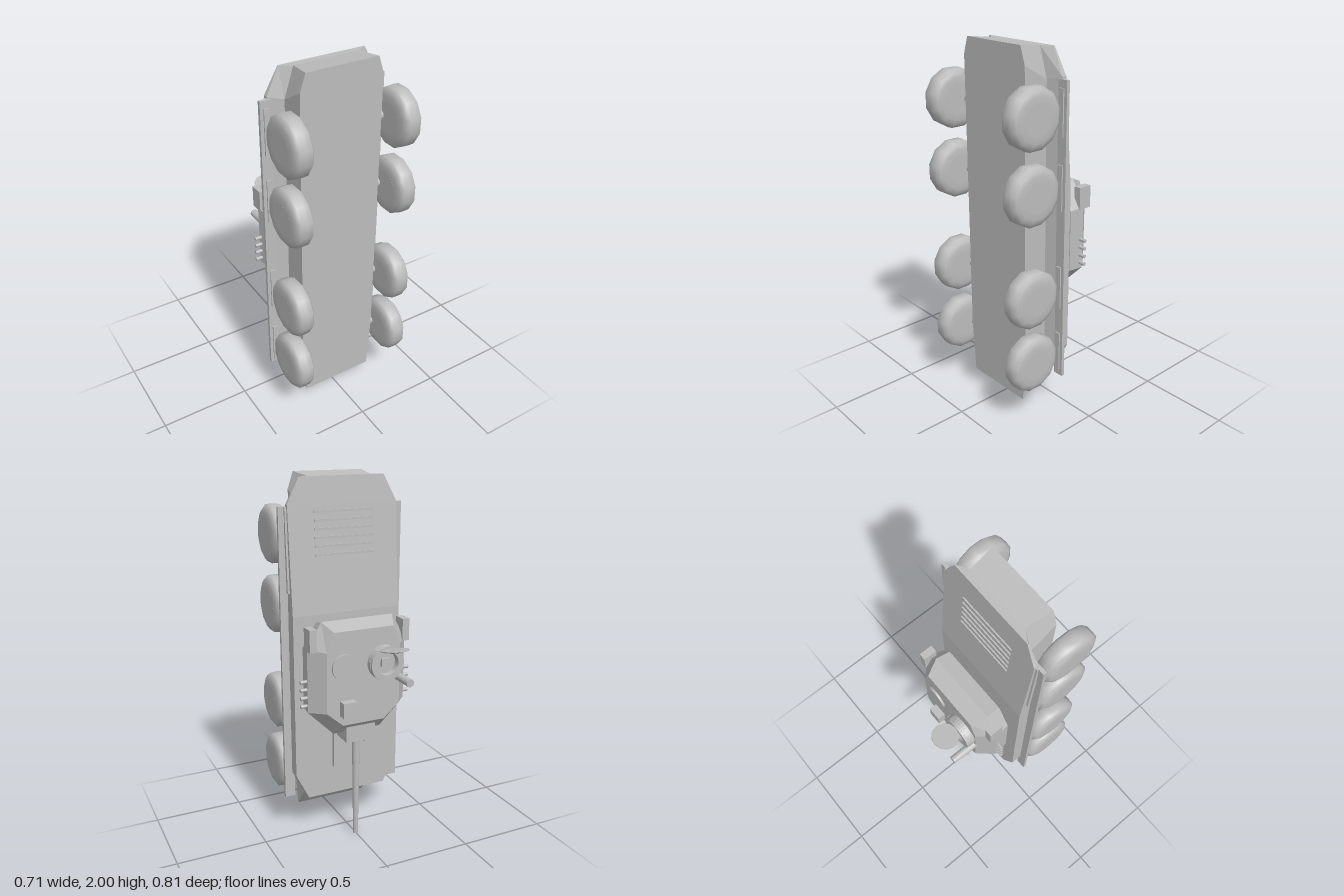
import * as THREE from 'three';

const grey = new THREE.MeshStandardMaterial({ color: 0xbcbcbc });
grey.name = 'primer grey';

// Closed solid from half outlines (x > 0, running from high y to low y), mirrored in x.
// Rings run from high z to low z.
function loft(rings) {
  const n = rings[0].length;
  const pos = [], idx = [];
  for (const r of rings) {
    for (const p of r) pos.push(...p);
    for (const [x, y, z] of [...r].reverse()) pos.push(-x, y, z);
  }
  const m = n * 2, last = (rings.length - 1) * m;
  for (let i = 0; i < rings.length - 1; i++) {
    for (let j = 0; j < m; j++) {
      const a = i * m + j, b = i * m + (j + 1) % m;
      idx.push(a, b, b + m, a, b + m, a + m);
    }
  }
  for (let j = 0; j < n - 1; j++) {
    const k = m - 1 - j;
    idx.push(j, k - 1, j + 1, j, k, k - 1);
    idx.push(last + j, last + j + 1, last + k - 1, last + j, last + k - 1, last + k);
  }
  const g = new THREE.BufferGeometry();
  g.setAttribute('position', new THREE.Float32BufferAttribute(pos, 3));
  g.setIndex(idx);
  const flat = g.toNonIndexed();
  flat.computeVertexNormals();
  return flat;
}

export function createModel() {
  const model = new THREE.Group();
  model.name = 'armouredVehicle';

  const add = (name, geo, x = 0, y = 0, z = 0, parent = model) => {
    const mesh = new THREE.Mesh(geo, grey);
    mesh.name = name;
    mesh.position.set(x, y, z);
    parent.add(mesh);
    return mesh;
  };
  // Box given by its extents on each axis
  const box = (name, x0, x1, y0, y1, z0, z1) =>
    add(name, new THREE.BoxGeometry(x1 - x0, y1 - y0, z1 - z0),
      (x0 + x1) / 2, (y0 + y1) / 2, (z0 + z1) / 2);
  // Cylinders along x and z
  const cylX = (r, len, seg) => new THREE.CylinderGeometry(r, r, len, seg).rotateZ(-Math.PI / 2);
  const cylZ = (r, len, seg) => new THREE.CylinderGeometry(r, r, len, seg).rotateX(Math.PI / 2);

  // Hull: belly, sponson foot, sponson edge, sloped roof
  add('hull', loft([
    [[0.2, 2, 0.23], [0.23, 1.91, 0.23], [0.23, 1.28, 0.23], [0.23, 0.37, 0.23], [0.21, 0.065, 0.23]],
    [[0.18, 1.985, 0.09], [0.23, 1.83, 0.09], [0.23, 1.28, 0.09], [0.23, 0.37, 0.09], [0.22, 0.22, 0.09]],
    [[0.24, 1.985, 0.055], [0.31, 1.85, 0.065], [0.31, 1.28, 0.065], [0.31, 0.37, 0.065], [0.235, 0.22, 0.065]],
    [[0.24, 1.985, 0.05], [0.31, 1.85, 0.039], [0.31, 1.28, -0.007], [0.31, 0.37, -0.007], [0.235, 0.22, -0.007]],
  ]));

  // Engine deck slats on the sloped roof
  for (let i = 0; i < 6; i++) {
    const y = 1.59 + i * 0.044;
    const z = -0.007 + (y - 1.28) * 0.081;
    box('deckSlat', -0.168, 0.168, y - 0.006, y + 0.006, z - 0.007, z + 0.007);
  }
  box('driverHatch', -0.09, 0.09, 0.39, 0.6, -0.03, 0);

  // Fenders, brackets and side panels
  for (const s of [-1, 1]) {
    const side = (name, a, b, ...rest) => box(name, Math.min(s * a, s * b), Math.max(s * a, s * b), ...rest);
    side('fender', 0.295, 0.353, 0.22, 1.84, 0.057, 0.075);
    for (const y of [0.36, 0.75, 1.3, 1.68]) {
      side('fenderBracket', 0.305, 0.335, y - 0.12, y + 0.12, 0.075, 0.082);
    }
    const panel = side('exhaustPanel', 0.3, 0.321, 1.4, 1.84, 0.038, 0.054);
    panel.rotation.x = 0.05;
  }

  // Wheels: rounded tyre around a flat hub
  const tyre = new THREE.LatheGeometry([
    [0.08, -0.054], [0.115, -0.053], [0.137, -0.046], [0.156, -0.032],
    [0.158, 0], [0.156, 0.032], [0.137, 0.046], [0.115, 0.053], [0.08, 0.054],
  ].map(([r, y]) => new THREE.Vector2(r, y)), 12)
    .rotateY(Math.PI / 12).rotateZ(-Math.PI / 2);
  const hub = cylX(0.082, 0.108, 12).rotateX(Math.PI / 12);
  const axle = cylX(0.025, 0.5, 12);
  for (const y of [0.365, 0.74, 1.3, 1.68]) {
    add('axle', axle, 0, y, 0.2);
    for (const s of [-1, 1]) {
      const wheel = new THREE.Group();
      wheel.name = 'wheel';
      wheel.position.set(s * 0.302, y, 0.254);
      add('tyre', tyre, 0, 0, 0, wheel);
      add('hub', hub, 0, 0, 0, wheel);
      model.add(wheel);
    }
  }

  // Turret on its ring
  add('turretRing', cylZ(0.18, 0.05, 32), 0, 0.88, -0.03);
  add('turret', loft([
    [[0.2, 1.25, -0.047], [0.275, 1.13, -0.047], [0.275, 0.79, -0.047], [0.14, 0.7, -0.047]],
    [[0.205, 1.275, -0.13], [0.285, 1.14, -0.13], [0.285, 0.79, -0.13], [0.14, 0.645, -0.13]],
    [[0.17, 1.235, -0.215], [0.212, 1.13, -0.215], [0.212, 0.8, -0.215], [0.12, 0.72, -0.215]],
  ]));

  // Gun
  box('mantlet', -0.085, 0.085, 0.6, 0.74, -0.182, -0.06);
  add('gunBarrel', new THREE.CylinderGeometry(0.022, 0.014, 0.62, 16), 0, 0.31, -0.122);
  add('coaxialGun', new THREE.CylinderGeometry(0.009, 0.009, 0.05, 8), -0.055, 0.585, -0.12);

  // Stowage boxes and smoke launchers
  for (const s of [-1, 1]) {
    add('sideBox', new THREE.BoxGeometry(0.04, 0.12, 0.077), s * 0.268, 1.19, -0.138);
    for (let i = 0; i < 4; i++) {
      add('smokeLauncher', cylX(0.01, 0.06, 10), s * 0.29, 0.824 + i * 0.045, -0.115);
    }
  }

  // Commander's cupola: hollow ring with vision blocks
  const ring = new THREE.Shape().absarc(0, 0, 0.095, 0, Math.PI * 2, false);
  ring.holes.push(new THREE.Path().absarc(0, 0, 0.062, 0, Math.PI * 2, true));
  add('cupola', new THREE.ExtrudeGeometry(ring, { depth: 0.055, bevelEnabled: false, curveSegments: 16 }),
    -0.115, 1.045, -0.265);
  add('cupolaFloor', cylZ(0.064, 0.02, 20), -0.115, 1.045, -0.215);
  add('seat', new THREE.BoxGeometry(0.045, 0.045, 0.02), -0.115, 1.045, -0.23);
  for (let i = 0; i < 6; i++) {
    const a = (i + 0.5) * Math.PI / 3 + Math.PI / 6;
    const block = add('visionBlock', new THREE.BoxGeometry(0.012, 0.038, 0.024),
      -0.115 + Math.cos(a) * 0.09, 1.045 + Math.sin(a) * 0.09, -0.241);
    block.rotation.z = a;
  }

  // Open hatch lid standing behind the cupola
  const lid = new THREE.Group();
  lid.name = 'hatchLid';
  lid.position.set(-0.115, 1.138, -0.335);
  lid.rotation.x = -Math.PI + 0.2;
  add('lidPlate', new THREE.CylinderGeometry(0.073, 0.073, 0.006, 12), 0, 0, 0, lid);
  add('lidDome', new THREE.CylinderGeometry(0.037, 0.073, 0.008, 12), 0, 0.007, 0, lid);
  model.add(lid);

  // Roof fittings
  add('sightTube', cylZ(0.022, 0.16, 16), -0.197, 0.955, -0.28);
  add('gunnerHatch', cylZ(0.07, 0.02, 24), 0.115, 1.045, -0.217);
  box('gunnerSight', 0.06, 0.138, 0.777, 0.86, -0.26, -0.205);

  return model;
}
